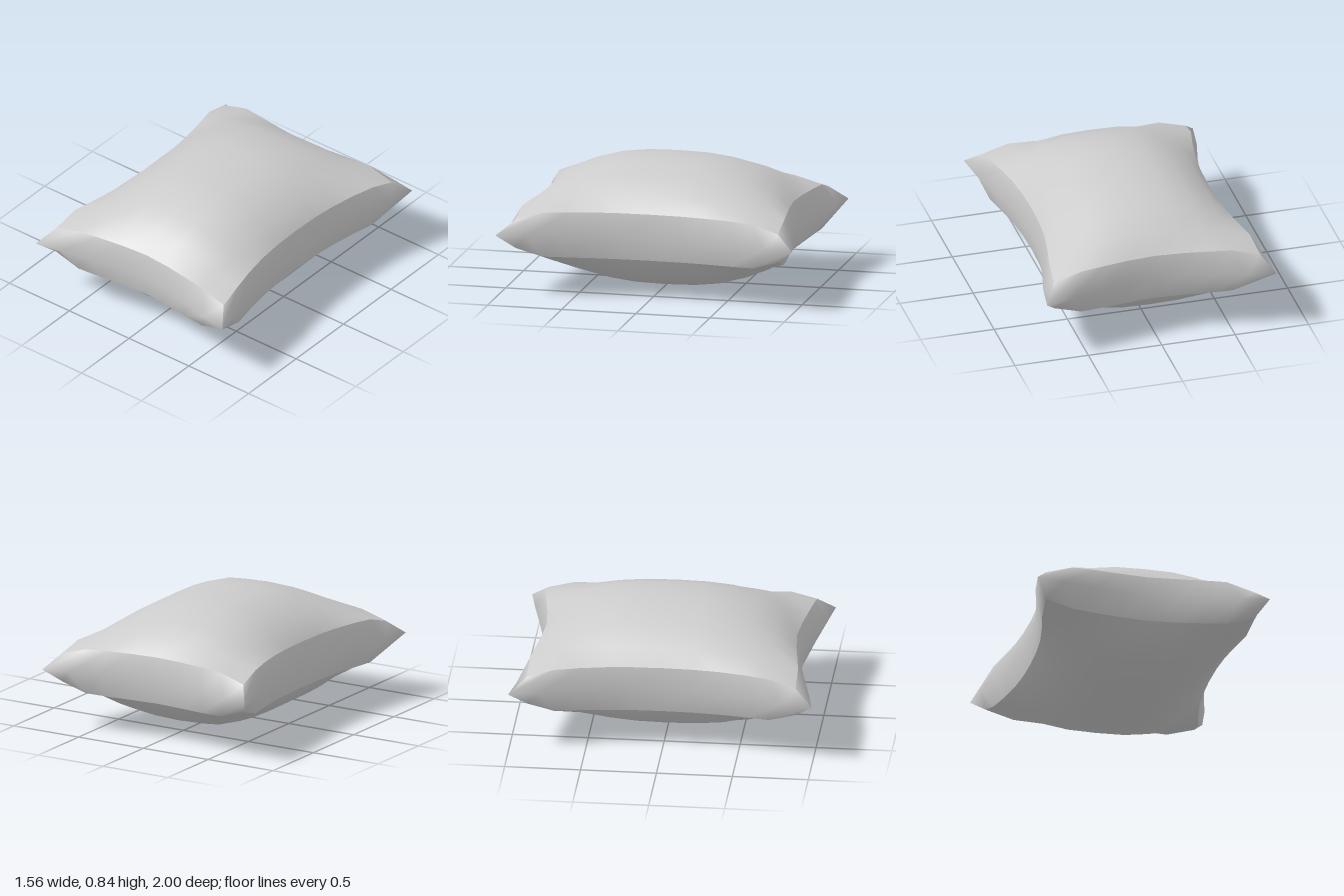
import * as THREE from 'three';

const MID = 0.42; // height of the seam around the middle

// Tables run from the centre line outwards, one entry per grid step.
const COL_X = [0, 0.19, 0.355, 0.515, 0.70];         // columns across the cushion
const ROW_Z = [0, 0.20, 0.37, 0.55, 0.71, 0.885];    // rows along the cushion
const EDGE_X = [0.60, 0.605, 0.62, 0.65, 0.685, 0.70]; // pinched long edge, per row
const EDGE_Z = [0.825, 0.84, 0.862, 0.883, 0.885];   // pinched short edge, per column
const SEAM_X = [0.625, 0.635, 0.66, 0.70, 0.75, 0.78];
const SEAM_Z = [0.86, 0.877, 0.92, 0.965, 1];
const PUFF_X = [1, 0.96, 0.75, 0.41, 0];             // swelling of the two faces
const PUFF_Z = [1, 0.98, 0.90, 0.70, 0.44, 0];
const RIM_X = [0.157, 0.157, 0.155, 0.15, 0.095];    // half thickness at the rims
const RIM_Z = [0.155, 0.155, 0.154, 0.152, 0.147, 0.095];

// Position of one grid point in the positive quadrant: column i, row j.
function cushionPoint(i, j, onSeam) {
  if (onSeam) {
    return [i === 4 ? SEAM_X[j] : i * 0.2, 0, j === 5 ? SEAM_Z[i] : j * 0.2];
  }
  const x = i === 4 ? EDGE_X[j] : COL_X[i];
  const z = j === 5 ? EDGE_Z[i] : ROW_Z[j];
  let h = 0.153 + 0.265 * PUFF_X[i] * PUFF_Z[j];
  if (j === 5) h = RIM_X[i];
  else if (i === 4) h = RIM_Z[j];
  return [x, h, z];
}

export function createModel() {
  const group = new THREE.Group();
  group.name = 'pillow';

  // A subdivided box swollen into a pillow; its twelve edges stay creased.
  const geometry = new THREE.BoxGeometry(8, 2, 10, 8, 2, 10);
  const pos = geometry.attributes.position;
  for (let n = 0; n < pos.count; n++) {
    const a = Math.round(pos.getX(n));
    const b = Math.round(pos.getY(n));
    const c = Math.round(pos.getZ(n));
    const [x, y, z] = cushionPoint(Math.abs(a), Math.abs(c), b === 0);
    pos.setXYZ(n, Math.sign(a) * x, MID + Math.sign(b) * y, Math.sign(c) * z);
  }
  geometry.computeVertexNormals();

  const cushion = new THREE.Mesh(geometry, new THREE.MeshStandardMaterial({ color: 0xcccccc }));
  cushion.name = 'cushion';
  group.add(cushion);
  return group;
}
